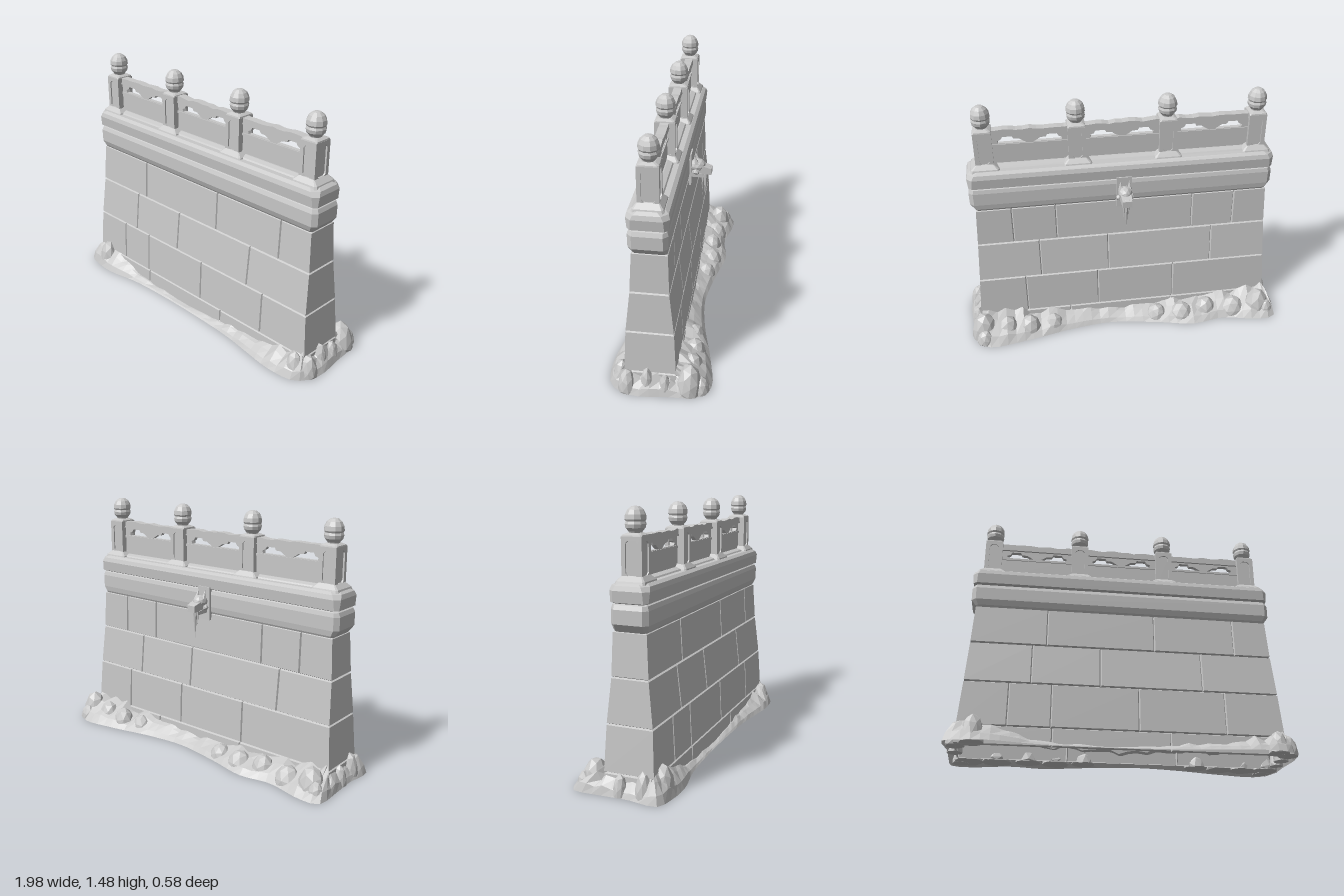
import * as THREE from 'three';

const stone = new THREE.MeshStandardMaterial({ color: 0xc8c8c8, flatShading: true, side: THREE.DoubleSide });
stone.name = 'grey stone';

const MID = 0.045; // z of the wall's centre plane
let seed = 7;
const rand = () => (seed = (seed * 16807) % 2147483647) / 2147483647;
const jitter = (a) => (rand() - 0.5) * 2 * a;

function add(parent, name, geometry, x = 0, y = 0, z = 0) {
  const m = new THREE.Mesh(geometry, stone);
  m.name = name;
  m.position.set(x, y, z);
  parent.add(m);
  return m;
}

function fromTriangles(points) {
  const g = new THREE.BufferGeometry().setFromPoints(points);
  g.computeVertexNormals();
  return g;
}

const quad = (out, a, b, c, d) => out.push(a, b, c, a, c, d);

// Skin between rings of equal length, bottom to top, with an optional lid
function loft(rings, lid = true) {
  const out = [], n = rings[0].length;
  for (let r = 0; r + 1 < rings.length; r++)
    for (let i = 0; i < n; i++) {
      const j = (i + 1) % n;
      quad(out, rings[r][i], rings[r][j], rings[r + 1][j], rings[r + 1][i]);
    }
  const top = rings[rings.length - 1];
  if (lid) for (let i = 1; i + 1 < n; i++) out.push(top[0], top[i], top[i + 1]);
  return fromTriangles(out);
}

// Rectangle with cut corners
function rectRing(y, hx, zf, zb, c) {
  return [[-hx + c, zf], [hx - c, zf], [hx, zf - c], [hx, zb + c], [hx - c, zb], [-hx + c, zb], [-hx, zb + c], [-hx, zf - c]]
    .map(([x, z]) => new THREE.Vector3(x, y, z));
}

const polygon = (pts, Type = THREE.Shape) => new Type(pts.map(([x, y]) => new THREE.Vector2(x, y)));
const extrude = (shape, depth) =>
  new THREE.ExtrudeGeometry(shape, { depth, bevelEnabled: false }).translate(0, 0, -depth / 2);

// Wall taper: height, half length, front z, back z
const TAPER = [[0, 0.925, 0.19, -0.105], [0.11, 0.92, 0.187, -0.1], [0.37, 0.902, 0.175, -0.088],
  [0.62, 0.888, 0.148, -0.062], [0.86, 0.876, 0.135, -0.055]];
function taper(y) {
  let i = 0;
  while (i < TAPER.length - 2 && y > TAPER[i + 1][0]) i++;
  const a = TAPER[i], b = TAPER[i + 1], t = (y - a[0]) / (b[0] - a[0]);
  return [1, 2, 3].map((k) => a[k] + (b[k] - a[k]) * t);
}

// Point on one side of the wall, sunk by d
function wallPoint(side, u, y, d) {
  const [hx, zf, zb] = taper(y);
  const clamp = THREE.MathUtils.clamp;
  if (side === 'front' || side === 'back')
    return new THREE.Vector3(clamp(u, -hx + d, hx - d), y, side === 'front' ? zf - d : zb + d);
  return new THREE.Vector3(side === 'left' ? hx - d : -hx + d, y, clamp(u, zb + d, zf - d));
}

// A block face with edges sloping into the joints
function block(out, side, u0, u1, y0, y1) {
  const g = 0.006, flip = side === 'back' || side === 'left';
  const corners = (e, d) => [[u0 + e, y0 + e], [u1 - e, y0 + e], [u1 - e, y1 - e], [u0 + e, y1 - e]]
    .map(([u, y]) => wallPoint(side, u, y, d));
  const face = corners(g, 0), joint = corners(0, 0.012);
  const put = (a, b, c, d) => (flip ? quad(out, d, c, b, a) : quad(out, a, b, c, d));
  put(...face);
  for (let i = 0; i < 4; i++) put(joint[i], joint[(i + 1) % 4], face[(i + 1) % 4], face[i]);
}

function buildWall(parent) {
  const joints = {
    front: [[-0.4, 0.26], [-0.65, -0.41, 0.085, 0.585], [-0.53, -0.135, 0.46], [-0.45, 0.185, 0.67]],
    back: [[-0.3, 0.35], [-0.31, 0.17, 0.62], [-0.55, 0.1, 0.52], [-0.68, -0.42, 0.41, 0.67]],
    left: [[], [], [], []], right: [[], [], [], []],
  };
  for (const side in joints) {
    const out = [];
    joints[side].forEach((cuts, row) => {
      const us = [-Infinity, ...cuts, Infinity];
      for (let i = 0; i + 1 < us.length; i++) block(out, side, us[i], us[i + 1], TAPER[row][0], TAPER[row + 1][0]);
    });
    add(parent, side + 'Blocks', fromTriangles(out));
  }
  add(parent, 'cornice', loft([
    rectRing(0.855, 0.87, 0.128, -0.048, 0.01), rectRing(0.868, 0.88, 0.137, -0.055, 0.015),
    rectRing(0.9, 0.905, 0.15, -0.06, 0.025), rectRing(0.975, 0.906, 0.151, -0.06, 0.025),
    rectRing(0.998, 0.896, 0.142, -0.054, 0.02), rectRing(1.003, 0.885, 0.132, -0.045, 0.02)], false));
  add(parent, 'capstone', loft([
    rectRing(1.003, 0.885, 0.132, -0.045, 0.02), rectRing(1.01, 0.902, 0.15, -0.062, 0.02),
    rectRing(1.07, 0.908, 0.157, -0.068, 0.03), rectRing(1.095, 0.9, 0.15, -0.06, 0.035),
    rectRing(1.108, 0.88, 0.13, -0.04, 0.035)]));
}

// Raised frame around a sunken, cut-cornered panel
function frame(w, h, border) {
  const a = w / 2, b = h / 2, p = a - border, q = b - border, c = 0.014;
  const s = polygon([[-a, -b], [a, -b], [a, b], [-a, b]]);
  s.holes.push(polygon([[-p + c, -q], [p - c, -q], [p, -q + c], [p, q - c], [p - c, q], [-p + c, q], [-p, q - c], [-p, -q + c]], THREE.Path));
  return extrude(s, 0.012);
}

function buildPost(parent, x) {
  const post = new THREE.Group();
  post.name = 'post';
  post.position.set(x, 0, MID);
  parent.add(post);
  add(post, 'postFoot', loft([rectRing(1.1, 0.085, 0.085, -0.085, 0.01), rectRing(1.115, 0.08, 0.08, -0.08, 0.01),
    rectRing(1.14, 0.05, 0.057, -0.057, 0.004)]));
  add(post, 'postCore', new THREE.BoxGeometry(0.084, 0.22, 0.098), 0, 1.225, 0);
  for (const s of [-1, 1]) {
    add(post, 'postFrame', frame(0.104, 0.22, 0.024), 0, 1.225, s * 0.051);
    add(post, 'postSideFrame', frame(0.114, 0.22, 0.022), s * 0.046, 1.225, 0).rotation.y = Math.PI / 2;
  }
  add(post, 'postTop', loft([rectRing(1.333, 0.052, 0.057, -0.057, 0.004), rectRing(1.342, 0.05, 0.055, -0.055, 0.008),
    rectRing(1.352, 0.032, 0.035, -0.035, 0.01)]));
  const profile = [[0.03, 1.345], [0.036, 1.358], [0.051, 1.376], [0.055, 1.395], [0.05, 1.408], [0.056, 1.418],
    [0.053, 1.442], [0.041, 1.465], [0.022, 1.48], [0, 1.484]];
  add(post, 'finial', new THREE.LatheGeometry(profile.map(([r, y]) => new THREE.Vector2(r, y)), 10));
}

function buildBay(parent, x0, x1) {
  const x = (x0 + x1) / 2, h = (x1 - x0) / 2 - 0.03;
  // Panel pierced on both sides of a hanging bracket
  const panel = polygon([[-h, 1.1], [h, 1.1], [h, 1.31], [-h, 1.31]]);
  for (const s of [-1, 1])
    panel.holes.push(polygon([[0.022, 1.246], [0.18, 1.246], [0.185, 1.262], [0.165, 1.27], [0.155, 1.287],
      [0.1, 1.287], [0.092, 1.272], [0.06, 1.27], [0.045, 1.26]].map(([a, b]) => [a * s, b]), THREE.Path));
  add(parent, 'piercedPanel', extrude(panel, 0.026), x, 0, MID);
  add(parent, 'middleRail', new THREE.BoxGeometry(h * 2, 0.014, 0.038), x, 1.236, MID);
  add(parent, 'bottomRail', loft([rectRing(1.1, h, 0.06, -0.06, 0.004), rectRing(1.116, h, 0.048, -0.048, 0.004),
    rectRing(1.124, h, 0.02, -0.02, 0.004)]), x, 0, MID);
  // Handrail with a worn top
  const pts = [[-h, 1.296], [h, 1.296]];
  for (let i = 0; i <= 12; i++) pts.push([h - (i / 6) * h, 1.334 + jitter(0.006)]);
  add(parent, 'handrail', extrude(polygon(pts), 0.05), x, 0, MID);
}

function buildSpout(parent) {
  const g = new THREE.Group();
  g.name = 'waterSpout';
  parent.add(g);
  add(g, 'spoutPlate', new THREE.BoxGeometry(0.09, 0.2, 0.03), 0, 0.92, -0.056);
  const taperBox = (y0, y1, w0, w1, h0, h1, z0, z1) => loft([[y0, w0, h0, z0], [y1, w1, h1, z1]].map(([y, w, h, z]) =>
    [[-w, -h], [w, -h], [w, h], [-w, h]].map(([a, b]) => new THREE.Vector3(a, y + b, z))));
  add(g, 'spoutHead', new THREE.IcosahedronGeometry(0.042, 1).scale(1, 1, 1.15), 0, 0.935, -0.105);
  add(g, 'spoutSnout', taperBox(0.925, 0.905, 0.034, 0.028, 0.028, 0.02, -0.1, -0.19));
  add(g, 'spoutNose', new THREE.IcosahedronGeometry(0.022, 0).scale(1.2, 1, 0.8), 0, 0.912, -0.176);
  add(g, 'spoutJaw', taperBox(0.88, 0.872, 0.026, 0.02, 0.014, 0.01, -0.07, -0.15));
  for (const s of [-1, 1]) {
    add(g, 'spoutEar', new THREE.ConeGeometry(0.016, 0.055, 5), s * 0.026, 0.98, -0.095).rotation.x = 0.25;
    add(g, 'spoutCheek', new THREE.IcosahedronGeometry(0.02, 0), s * 0.035, 0.905, -0.1);
  }
  for (const [x, z, len, r] of [[0, -0.152, 0.165, 0.014], [0.014, -0.138, 0.1, 0.009], [-0.014, -0.145, 0.08, 0.009]])
    add(g, 'icicle', new THREE.ConeGeometry(r, len, 6).rotateX(Math.PI), x, 0.885 - len / 2, z);
}

function buildRubble(parent) {
  // Ground outline: x, z, height where it meets the wall
  const outline = [[-0.98, 0.23, 0.13], [-0.88, 0.265, 0.17], [-0.73, 0.275, 0.12], [-0.5, 0.235, 0.045], [-0.2, 0.222, 0.02],
    [0.1, 0.225, 0.02], [0.38, 0.24, 0.05], [0.55, 0.265, 0.06], [0.75, 0.29, 0.09], [0.92, 0.265, 0.15],
    [0.99, 0.15, 0.12], [0.98, -0.05, 0.1], [0.96, -0.22, 0.13], [0.88, -0.29, 0.15], [0.65, -0.265, 0.12],
    [0.35, -0.2, 0.08], [0.1, -0.175, 0.06], [-0.2, -0.22, 0.08], [-0.43, -0.268, 0.1], [-0.62, -0.24, 0.1],
    [-0.85, -0.285, 0.13], [-0.96, -0.27, 0.13], [-0.97, -0.1, 0.11], [-0.965, 0.05, 0.1]];
  const curve = new THREE.CatmullRomCurve3(outline.map(([x, z, h]) => new THREE.Vector3(x, h, z)), true);
  const rings = [[], [], [], []];
  for (const p of curve.getSpacedPoints(90).slice(0, 90)) {
    const ix = THREE.MathUtils.clamp(p.x, -0.905, 0.905), iz = THREE.MathUtils.clamp(p.z, -0.085, 0.175);
    const h = p.y * (1 + jitter(0.2));
    [[0, 0], [0.18, 0.35], [0.6, 0.75], [1, 1]].forEach(([t, k], r) => rings[r].push(new THREE.Vector3(
      p.x + (ix - p.x) * t, r ? h * k * (1 + jitter(0.15)) : 0, p.z + (iz - p.z) * t)));
  }
  add(parent, 'rubbleSkirt', loft(rings, false));

  // Boulders: x, z, radius, height
  const boulders = [[0.9, -0.17, 0.085, 0.17], [0.9, -0.235, 0.055, 0.09], [0.935, 0.17, 0.06, 0.13], [0.93, 0.06, 0.045, 0.15],
    [0.935, -0.04, 0.04, 0.12], [0.87, 0.21, 0.06, 0.14], [0.76, -0.17, 0.08, 0.13], [0.62, -0.17, 0.075, 0.12],
    [0.47, -0.15, 0.07, 0.1], [-0.2, -0.15, 0.07, 0.09], [-0.36, -0.17, 0.08, 0.1], [-0.52, -0.16, 0.075, 0.12],
    [-0.7, -0.17, 0.085, 0.11], [-0.86, -0.18, 0.085, 0.16], [-0.91, -0.22, 0.05, 0.1], [-0.93, 0.0, 0.045, 0.12],
    [-0.92, 0.13, 0.055, 0.15], [-0.83, 0.2, 0.07, 0.17]];
  for (const [x, z, r, h] of boulders) {
    const g = new THREE.IcosahedronGeometry(1, 1).rotateY(x * 9).rotateX(z * 7);
    const p = g.attributes.position;
    for (let i = 0; i < p.count; i++) p.setY(i, Math.max(p.getY(i), 0.02));
    add(parent, 'boulder', g.scale(r, h, r * 0.9), x, 0, z);
  }
}

export function createModel() {
  const model = new THREE.Group();
  model.name = 'stoneWall';
  buildWall(model);
  const posts = [-0.8, -0.268, 0.264, 0.796];
  posts.forEach((x, i) => {
    buildPost(model, x);
    if (i) buildBay(model, posts[i - 1], x);
  });
  buildSpout(model);
  buildRubble(model);
  return model;
}
